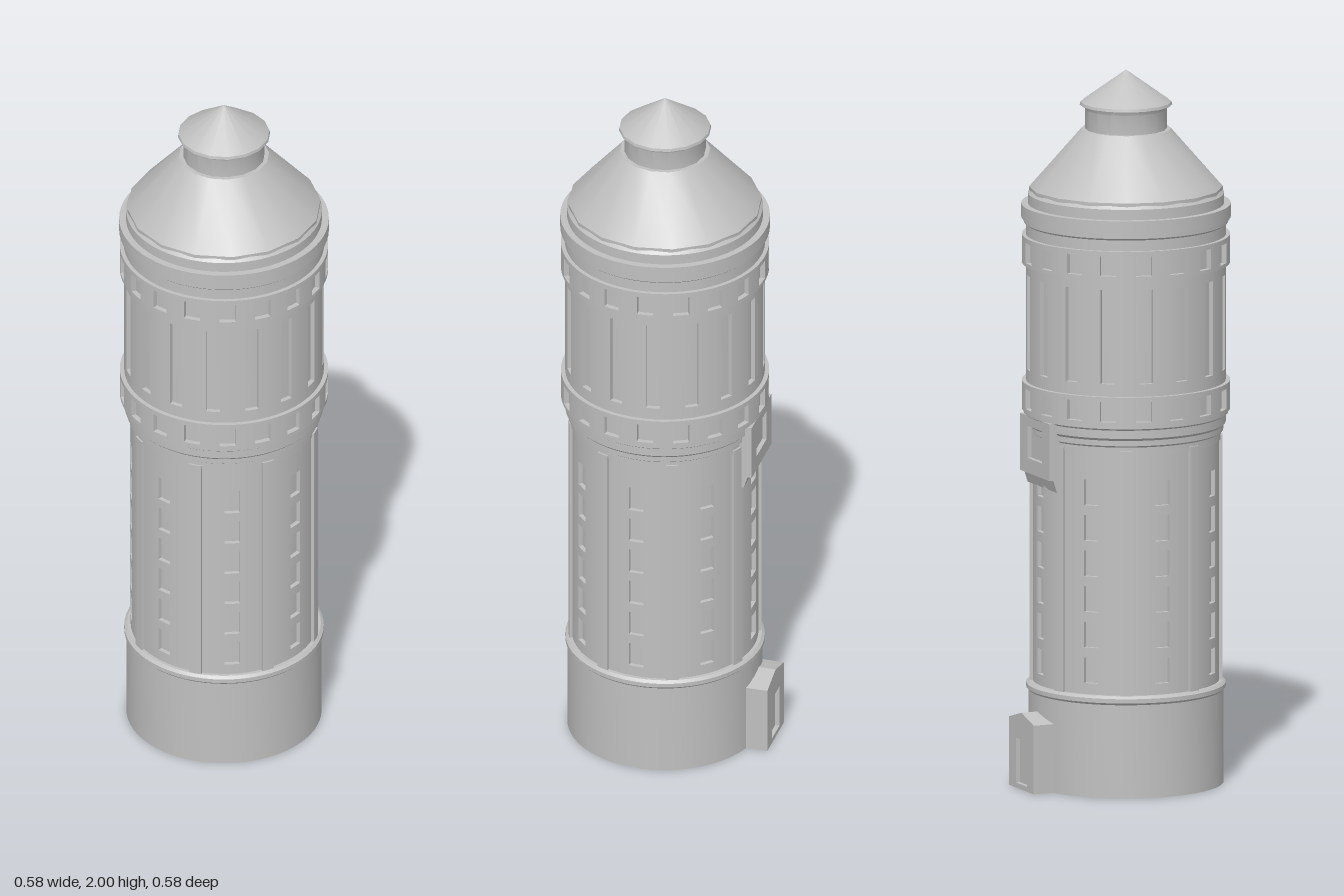
import * as THREE from 'three';
import { mergeGeometries, toCreasedNormals } from 'three/addons/utils/BufferGeometryUtils.js';

const DEG = Math.PI / 180;

// Box bent around the y axis: radii r0..r1, angles a0..a1 (degrees from +z), heights y0..y1
function arcBlock(r0, r1, a0, a1, y0, y1) {
  const geo = new THREE.BoxGeometry(1, 1, 1, Math.max(1, Math.ceil((a1 - a0) / 4)), 1, 1);
  const p = geo.attributes.position, n = geo.attributes.normal;
  for (let i = 0; i < p.count; i++) {
    const a = (a0 + (p.getX(i) + 0.5) * (a1 - a0)) * DEG;
    const r = p.getZ(i) > 0 ? r1 : r0;
    const s = Math.sin(a), c = Math.cos(a), nx = n.getX(i), nz = n.getZ(i);
    p.setXYZ(i, r * s, p.getY(i) > 0 ? y1 : y0, r * c);
    n.setXYZ(i, nx * c + nz * s, n.getY(i), nz * c - nx * s);
  }
  return geo;
}

// Ring of wall pierced by columns of openings; rows lists each opening's [bottom, top]
function piercedRing(r0, r1, y0, y1, count, offset, width, rows) {
  const half = width / r1 / DEG / 2, step = 360 / count, parts = [];
  for (let k = 0; k < count; k++) {
    const a = offset + k * step;
    parts.push(arcBlock(r0, r1, a + half, a + step - half, y0, y1));
    let y = y0;
    for (const [b, t] of [...rows, [y1, y1]]) {
      parts.push(arcBlock(r0, r1, a - half, a + half, y, b));
      y = t;
    }
  }
  return mergeGeometries(parts);
}

function lathe(profile, sides) {
  const pts = profile.map(([r, y]) => new THREE.Vector2(r, y));
  return toCreasedNormals(new THREE.LatheGeometry(pts, sides), 0.5);
}

function outline(points) {
  return new THREE.Shape(points.map(([x, y]) => new THREE.Vector2(x, y)));
}

function rectHole(shape, w, y0, y1) {
  shape.holes.push(new THREE.Path([[-w, y0], [-w, y1], [w, y1], [w, y0]].map(([x, y]) => new THREE.Vector2(x, y))));
  return shape;
}

function extrude(shape, depth, z) {
  return new THREE.ExtrudeGeometry(shape, { depth, bevelEnabled: false }).translate(0, 0, z);
}

export function createModel() {
  const model = new THREE.Group();
  model.name = 'tower';
  const grey = new THREE.MeshStandardMaterial({ color: 0xc0c0c0 });
  grey.name = 'stone grey';
  const add = (name, geo, parent = model) => {
    const mesh = new THREE.Mesh(geo, grey);
    mesh.name = name;
    parent.add(mesh);
    return mesh;
  };

  // Plinth, inner core, stepped collar and cornice
  add('body', lathe([
    [0, 0], [0.27, 0], [0.27, 0.262], [0.276, 0.268], [0.276, 0.28], [0.268, 0.287], [0.246, 0.287],
    [0.246, 0.965], [0.262, 0.965], [0.262, 0.985], [0.269, 0.99], [0.269, 1.005], [0.276, 1.012],
    [0.276, 1.035], [0.283, 1.04], [0.283, 1.052], [0.274, 1.052], [0.274, 1.125], [0.263, 1.125],
    [0.263, 1.46], [0.274, 1.46], [0.274, 1.54], [0.277, 1.54], [0.277, 1.57], [0.283, 1.575],
    [0.283, 1.588], [0.29, 1.588], [0.29, 1.626], [0.271, 1.626], [0.271, 1.655], [0.262, 1.665], [0, 1.665],
  ], 64));

  // Lower shaft: eight columns of six small windows, with ribs between
  const windows = [];
  for (let i = 0; i < 6; i++) windows.push([0.318 + i * 0.1, 0.39 + i * 0.1]);
  add('shaftWall', piercedRing(0.244, 0.258, 0.285, 0.97, 8, 0, 0.042, windows));
  const ribs = [];
  for (let k = 0; k < 8; k++) {
    const a = 22.5 + k * 45;
    ribs.push(arcBlock(0.25, 0.267, a - 3.8, a + 3.8, 0.285, 0.975));
  }
  add('shaftRibs', mergeGeometries(ribs));

  // Upper drum with tall slots, between two bands of square openings
  add('drumWall', piercedRing(0.26, 0.276, 1.12, 1.465, 16, 11.25, 0.038, [[1.165, 1.43]]));
  for (const [name, y] of [['lowerBand', 1.05], ['upperBand', 1.46]]) {
    add(name, piercedRing(0.272, 0.288, y, y + 0.08, 18, -8, 0.046, [[y + 0.01, y + 0.066]]));
  }

  // Conical roof, lantern neck and pointed cap
  add('roof', lathe([[0, 1.662], [0.268, 1.662], [0.268, 1.672], [0.125, 1.835], [0, 1.835]], 16));
  add('neck', lathe([[0.113, 1.83], [0.113, 1.89], [0.12, 1.905]], 16));
  add('cap', lathe([[0, 1.902], [0.128, 1.902], [0.126, 1.91], [0, 2]], 16));

  // Gabled porch with a recessed door
  const side = new THREE.Group();
  side.name = 'entranceSide';
  side.rotation.y = 136.8 * DEG;
  model.add(side);
  const gable = () => outline([[-0.081, 0], [0.081, 0], [0.081, 0.193], [0, 0.216], [-0.081, 0.193]]);
  add('porch', extrude(gable(), 0.106, 0.2), side);
  add('porchFront', extrude(rectHole(gable(), 0.037, 0.014, 0.14), 0.0125, 0.306), side);

  // Bay above the porch with a sloping underside and a recessed window
  const bay = new THREE.ExtrudeGeometry(
    outline([[-0.22, 0.845], [-0.255, 0.845], [-0.266, 0.88], [-0.266, 1.04], [-0.22, 1.04]]),
    { depth: 0.194, bevelEnabled: false });
  add('bay', bay.rotateY(Math.PI / 2).translate(-0.097, 0, 0), side);
  const face = outline([[-0.097, 0.88], [0.097, 0.88], [0.097, 1.04], [-0.097, 1.04]]);
  add('bayFront', extrude(rectHole(face, 0.048, 0.922, 1.012), 0.012, 0.266), side);

  return model;
}
